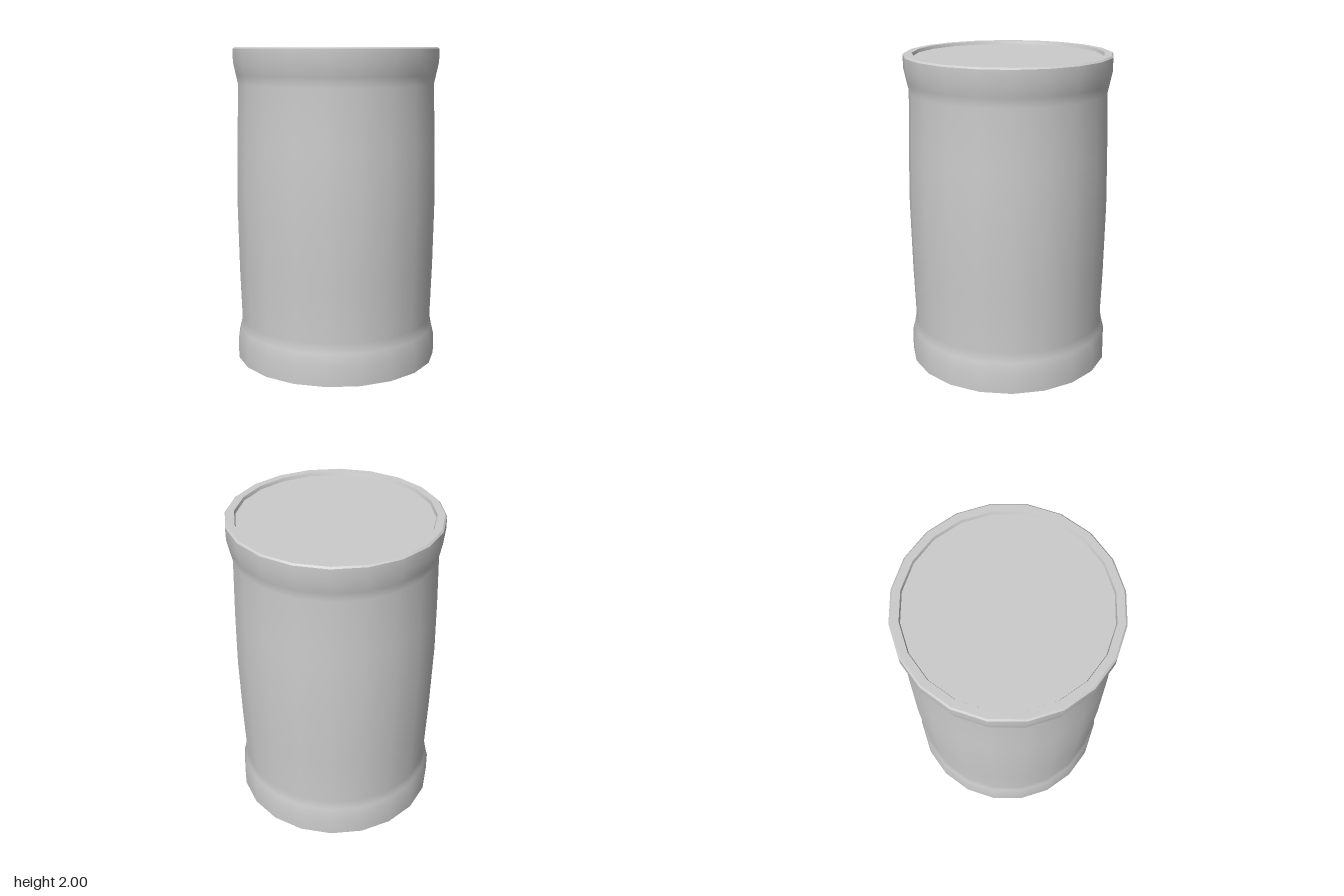
import * as THREE from 'three';
import { toCreasedNormals } from 'three/addons/utils/BufferGeometryUtils.js';

const SIDES = 20;
const material = new THREE.MeshStandardMaterial({ color: 0xcccccc });

function addMesh(group, name, geometry) {
  const mesh = new THREE.Mesh(geometry, material);
  mesh.name = name;
  group.add(mesh);
  return mesh;
}

// Revolve [radius, height] pairs, listed from the bottom up, around the y axis
function revolve(pairs) {
  return new THREE.LatheGeometry(pairs.map(([r, y]) => new THREE.Vector2(r, y)), SIDES);
}

// Flat disc whose corners line up with the revolved sides
function disc(radius) {
  return new THREE.CircleGeometry(radius, SIDES).rotateX(-Math.PI / 2);
}

export function createModel() {
  const group = new THREE.Group();
  group.name = 'barrel';

  // Smooth wall: flared foot, slight belly, flared collar
  addMesh(group, 'wall', revolve([
    [0.65, 0], [0.65, 0.13], [0.633, 0.2], [0.622, 0.26],
    [0.633, 0.6], [0.64, 1.05], [0.633, 1.4],
    [0.62, 1.77], [0.633, 1.83], [0.65, 1.91], [0.65, 1.99],
  ]));

  // Bevelled rim with a shallow inner lip
  addMesh(group, 'rim', toCreasedNormals(revolve([
    [0.65, 1.99], [0.64, 2], [0.594, 2], [0.588, 1.98],
  ]), Math.PI / 6));

  // Recessed lid and flat base
  addMesh(group, 'lid', disc(0.588)).position.y = 1.98;
  addMesh(group, 'base', disc(0.65)).rotation.x = Math.PI;

  return group;
}
